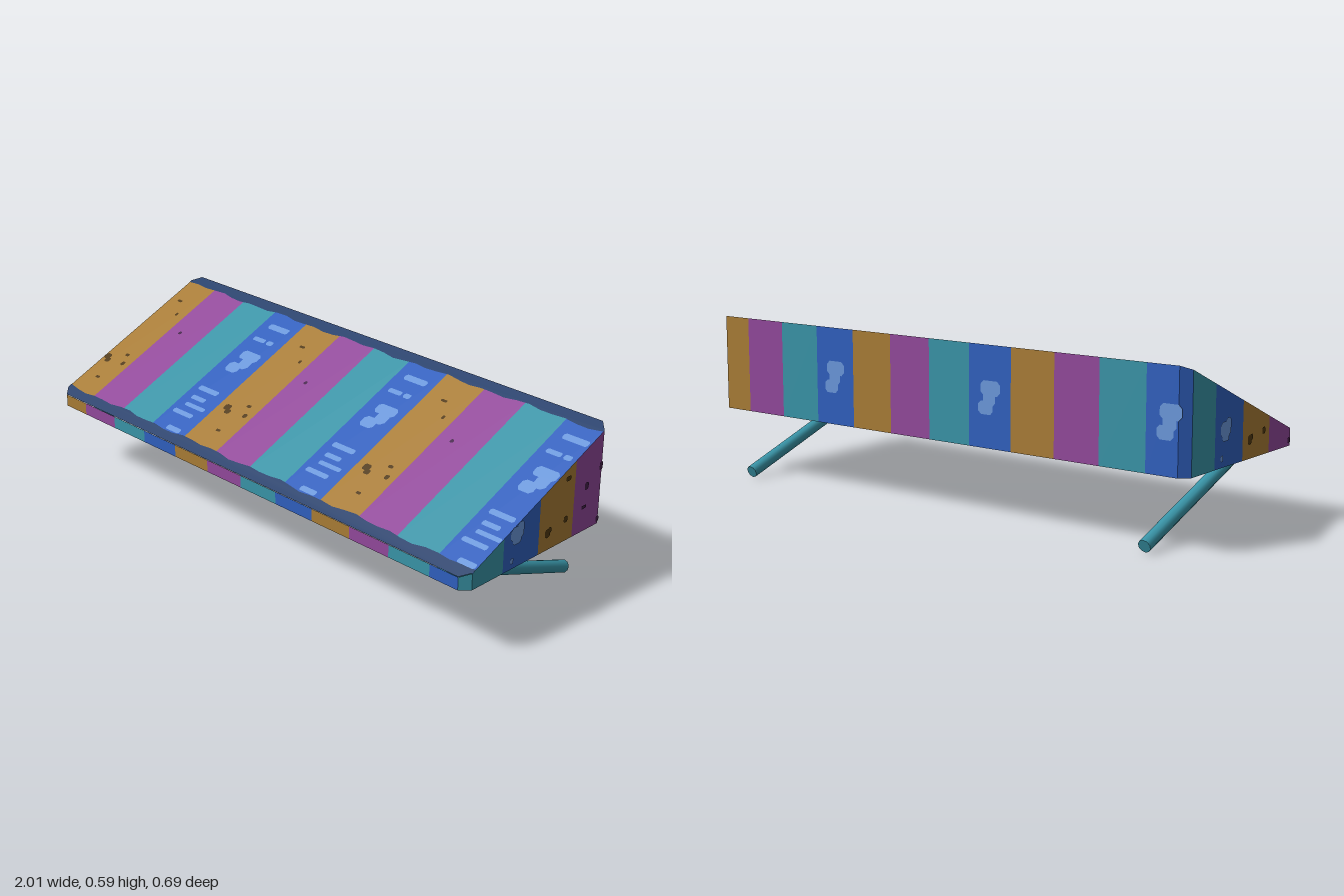
import * as THREE from 'three';

const mat = (name, color) => {
  const m = new THREE.MeshStandardMaterial({ color });
  m.name = name;
  return m;
};

export function createModel() {
  const group = new THREE.Group();
  const gold = mat('gold canvas', 0xa87c35), purple = mat('purple canvas', 0x91489a);
  const teal = mat('teal canvas', 0x3893a6), blue = mat('blue canvas', 0x2f5fbd);
  const navy = mat('navy trim', 0x243f6b), pale = mat('pale blue marks', 0x6a97da);
  const brown = mat('brown marks', 0x50380f), plum = mat('plum marks', 0x44204a);

  // Overall wedge: front and back z, underside y, corner chamfer, stripe width
  const F = 0.345, B = -0.337, Y = 0.25, C = 0.03, W = 0.171;
  const roof = (z) => 0.295 + (F - z) * 0.4355;

  // Each face maps flat (u, v) coordinates and a lift d onto the wedge
  const faces = {
    top: (u, v, d) => [u, roof(-v) + d, -v],
    underside: (u, v, d) => [u, Y - d, v],
    front: (u, v, d) => [u, v, F + d],
    back: (u, v, d) => [-u, v, B - d],
    sideRight: (u, v, d) => [1 + d, v, -u],
    sideLeft: (u, v, d) => [-1 - d, v, u],
  };

  function panel(name, material, points, map, lift = 0) {
    const geo = new THREE.ShapeGeometry(new THREE.Shape(points.map(([x, y]) => new THREE.Vector2(x, y))));
    const p = geo.attributes.position;
    for (let i = 0; i < p.count; i++) p.setXYZ(i, ...map(p.getX(i), p.getY(i), lift));
    geo.computeVertexNormals();
    const mesh = new THREE.Mesh(geo, material);
    mesh.name = name;
    group.add(mesh);
  }
  const rect = (u0, v0, u1, v1) => [[u0, v0], [u1, v0], [u1, v1], [u0, v1]];
  // Dash with cut corners, centred on u, v
  const dash = (name, m, face, u, v, w, h) => {
    const a = w / 2, b = h / 2, k = Math.min(a, b) * 0.5;
    panel(name, m, [[u - a + k, v - b], [u + a - k, v - b], [u + a, v - b + k], [u + a, v + b - k],
      [u + a - k, v + b], [u - a + k, v + b], [u - a, v + b - k], [u - a, v - b + k]], faces[face], 0.003);
  };

  // Striped long faces
  const cycle = [gold, purple, teal, blue];
  const blueMarks = [[0.09, -0.235, 0.1, 0.024], [0.06, -0.165, 0.06, 0.018], [0.115, -0.165, 0.03, 0.02],
    [0.095, -0.085, 0.09, 0.04], [0.105, -0.05, 0.05, 0.05], [0.075, -0.02, 0.06, 0.045],
    [0.08, 0.105, 0.1, 0.02], [0.075, 0.15, 0.07, 0.018], [0.095, 0.185, 0.1, 0.016],
    [0.075, 0.225, 0.1, 0.018], [0.105, 0.295, 0.07, 0.02]];
  const goldMarks = [[0.045, 0.135, 0.03, 0.025], [0.06, 0.15, 0.025, 0.02], [0.12, 0.1, 0.02, 0.012],
    [0.14, 0.14, 0.018, 0.018], [0.08, -0.2, 0.025, 0.01], [0.1, 0.23, 0.02, 0.01], [0.13, -0.14, 0.012, 0.015]];
  for (let i = 0; i < 12; i++) {
    const m = cycle[i % 4], start = (i - 6) * W;
    const u0 = Math.max(start, -1), u1 = Math.min(start + W, 1);
    panel('topStripe', m, rect(u0, -F + C, u1, -B - C), faces.top);
    panel('undersideStripe', m, rect(u0, B + C, u1, F - C), faces.underside);
    const w0 = Math.max(u0, -1 + C), w1 = Math.min(u1, 1 - C);
    panel('frontStripe', m, rect(w0, Y, w1, roof(F)), faces.front);
    panel('backStripe', m, rect(w0, Y, w1, roof(B)), faces.back);

    // Scattered marks on the blue and gold stripes
    const marks = m === blue ? blueMarks : m === gold ? goldMarks : [];
    const markMat = m === blue ? pale : brown;
    for (const [u, z, w, h] of marks) {
      const x = start + u;
      if (x - w / 2 < -1 || x + w / 2 > 1) continue;
      dash('topMark', markMat, 'top', x, -z, w, h);
      dash('undersideMark', markMat, 'underside', x, z, w, h);
    }
    if (m === blue) {
      dash('backMark', pale, 'back', start + 0.09, 0.45, 0.08, 0.05);
      dash('backMark', pale, 'back', start + 0.085, 0.415, 0.05, 0.05);
      dash('backMark', pale, 'back', start + 0.07, 0.385, 0.06, 0.045);
    }
    if (m === purple) dash('topMark', plum, 'top', start + 0.06, 0.07, 0.014, 0.014);
  }

  // Striped triangular ends, narrow at the front
  const sideCycle = [teal, blue, gold, purple];
  const sideMarks = [[pale, -0.112, 0.37, 0.062, 0.05], [pale, -0.095, 0.385, 0.03, 0.04], [pale, -0.112, 0.345, 0.04, 0.025],
    [pale, -0.133, 0.28, 0.015, 0.02], [brown, 0.04, 0.312, 0.025, 0.03], [brown, 0.05, 0.32, 0.018, 0.02],
    [brown, 0.13, 0.33, 0.02, 0.022], [brown, 0.132, 0.472, 0.025, 0.016],
    [plum, 0.23, 0.412, 0.02, 0.026], [plum, 0.222, 0.34, 0.025, 0.012], [plum, 0.3, 0.46, 0.016, 0.028],
    [plum, 0.3, 0.27, 0.015, 0.02]];
  for (const side of ['sideRight', 'sideLeft']) {
    const right = side === 'sideRight';
    const height = (u) => roof(right ? -u : u);
    const lo = right ? -F + C : B + C, hi = right ? -B - C : F - C;
    const edges = [lo, -W, 0.0, W, hi];
    sideCycle.forEach((m, i) => {
      const a = edges[i], b = edges[i + 1];
      panel('sideStripe', m, [[a, Y], [b, Y], [b, height(b)], [a, height(a)]], faces[side]);
    });
    for (const [m, u, v, w, h] of sideMarks) if (v + h / 2 < height(u + w / 2)) dash('sideMark', m, side, u, v, w, h);
  }

  // Chamfered upright corners
  const corner = (m, [xa, za], [xb, zb]) =>
    panel('cornerPanel', m, [[0, Y], [1, Y], [1, roof(zb)], [0, roof(za)]],
      (u, v) => [xa + (xb - xa) * u, v, za + (zb - za) * u]);
  corner(teal, [1 - C, F], [1, F - C]);
  corner(gold, [1, B + C], [1 - C, B]);
  corner(blue, [-1 + C, B], [-1, B + C]);
  corner(purple, [-1, F - C], [-1 + C, F]);
  for (const [y, h] of [[0.56, 0.04], [0.31, 0.035]]) {
    panel('cornerMark', brown, rect(0.25, y - h / 2, 0.75, y + h / 2),
      (u, v) => [1 - C * u + 0.002, v, B + C - C * u - 0.002]);
  }

  // Navy trim along front and back edges, with a worn inner border
  for (const face of ['top', 'underside']) {
    for (const outer of [F, B]) {
      const s = Math.sign(outer), zv = face === 'top' ? -1 : 1;
      const pts = [[-1, outer - s * C], [-1 + C, outer], [1 - C, outer], [1, outer - s * C]];
      for (let i = 0; i <= 40; i++) {
        const wobble = 0.004 * Math.sin(i * 1.9 + s) + 0.003 * Math.sin(i * 0.8);
        pts.push([1 - i * 0.05, outer - s * (0.04 + wobble)]);
      }
      panel(face + 'Trim', navy, pts.map(([x, z]) => [x, z * zv]), faces[face], 0.0015);
    }
  }

  // Slanted support poles
  const low = new THREE.Vector3(0, 0.022, -0.3375), high = new THREE.Vector3(0, 0.251, 0.289);
  const dir = high.clone().sub(low);
  for (const x of [-0.857, 0.857]) {
    const pole = new THREE.Mesh(new THREE.CylinderGeometry(0.0225, 0.0225, dir.length(), 10), teal);
    pole.name = 'supportPole';
    pole.position.copy(low).add(high).multiplyScalar(0.5).setX(x);
    pole.quaternion.setFromUnitVectors(new THREE.Vector3(0, 1, 0), dir.clone().normalize());
    group.add(pole);
  }
  return group;
}
